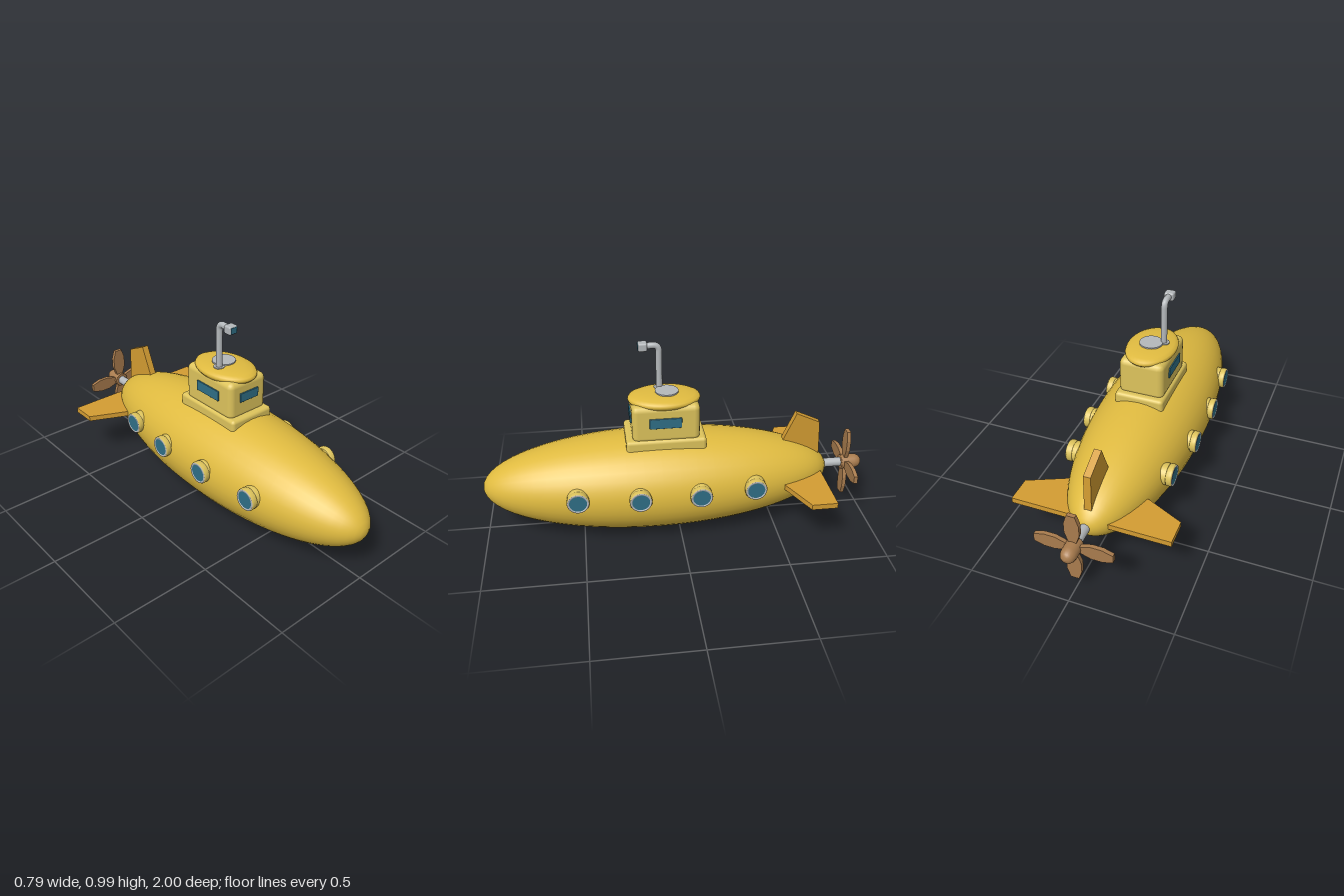
import * as THREE from 'three';
import { RoundedBoxGeometry } from 'three/addons/geometries/RoundedBoxGeometry.js';

const paint = (name, color) => {
  const m = new THREE.MeshStandardMaterial({ color });
  m.name = name;
  return m;
};

export function createModel() {
  const yellow = paint('hull yellow', 0xe0bb40);
  const paleYellow = paint('pale yellow', 0xdec45c);
  const orange = paint('fin orange', 0xd39c32);
  const steel = paint('steel grey', 0xb4b8bb);
  const glass = paint('window teal', 0x2f6f86);
  const bronze = paint('propeller bronze', 0xa97c4e);

  const model = new THREE.Group();
  model.name = 'submarine';
  const add = (name, geometry, material, x = 0, y = 0, z = 0, parent = model) => {
    const mesh = new THREE.Mesh(geometry, material);
    mesh.name = name;
    mesh.position.set(x, y, z);
    parent.add(mesh);
    return mesh;
  };
  const box = (w, h, d, r) => new RoundedBoxGeometry(w, h, d, 2, r);
  const lathe = (pts, n = 32) => new THREE.LatheGeometry(pts.map(p => new THREE.Vector2(...p)), n);
  // Flat plate from an outline, centred on its thickness
  const plate = (pts, depth) => {
    const shape = new THREE.Shape(pts.map(p => new THREE.Vector2(...p)));
    return new THREE.ExtrudeGeometry(shape, { depth, bevelEnabled: false }).translate(0, 0, -depth / 2);
  };

  // Hull: a long ellipsoid with its poles at nose and tail
  const hullY = 0.262;
  const hull = new THREE.SphereGeometry(1, 36, 32).rotateX(Math.PI / 2).scale(0.285, 0.257, 0.9);
  add('hull', hull, yellow, 0, hullY, 0.1);

  // Portholes, four on each side
  const collarGeo = lathe([[0.054, -0.07], [0.054, -0.034], [0.05, -0.032], [0.05, -0.03],
    [0.055, -0.028], [0.056, -0.006], [0.053, 0], [0.044, 0]], 28);
  const rimGeo = lathe([[0.053, -0.001], [0.052, 0.002], [0.044, 0.002], [0.042, -0.004]], 28);
  const glassGeo = new THREE.CylinderGeometry(0.044, 0.044, 0.006, 28);
  for (const side of [1, -1]) {
    for (const [z, x] of [[0.52, 0.279], [0.215, 0.306], [-0.085, 0.306], [-0.365, 0.276]]) {
      const porthole = new THREE.Group();
      porthole.name = 'porthole';
      porthole.position.set(side * x, 0.306, z);
      porthole.rotation.z = -side * Math.PI / 2;
      add('portholeCollar', collarGeo, paleYellow, 0, 0, 0, porthole);
      add('portholeRim', rimGeo, steel, 0, 0, 0, porthole);
      add('portholeGlass', glassGeo, glass, 0, -0.003, 0, porthole);
      model.add(porthole);
    }
  }

  // Conning tower with its base, roof and windows
  const towerZ = 0.066;
  add('towerBase', box(0.254, 0.08, 0.402, 0.018), paleYellow, 0, 0.501, towerZ);
  add('towerBody', box(0.232, 0.2, 0.338, 0.03), paleYellow, 0, 0.622, towerZ);
  const roof = lathe([[0, -0.024], [0.8, -0.024], [0.93, -0.019], [0.99, -0.008], [1, 0],
    [0.97, 0.009], [0.85, 0.018], [0.6, 0.025], [0.3, 0.028], [0, 0.029]], 36);
  roof.scale(0.127, 1, 0.182);
  add('towerRoof', roof, yellow, 0, 0.723, towerZ);
  add('frontWindow', box(0.116, 0.048, 0.009, 0.003), glass, 0, 0.638, 0.238);
  for (const side of [1, -1]) {
    add('sideWindow', box(0.009, 0.054, 0.16, 0.003), glass, side * 0.118, 0.633, 0.07);
  }
  add('hatch', new THREE.CylinderGeometry(0.059, 0.059, 0.014, 32), steel, 0, 0.75, 0.052);

  // Periscope: mast, bent neck and viewing head
  const px = -0.056, pz = 0.083;
  add('periscopeFoot', new THREE.CylinderGeometry(0.028, 0.028, 0.02, 20), steel, px, 0.742, pz);
  const path = new THREE.CurvePath();
  const v = (y, z) => new THREE.Vector3(px, y, z);
  path.add(new THREE.LineCurve3(v(0.73, pz), v(0.945, pz)));
  path.add(new THREE.QuadraticBezierCurve3(v(0.945, pz), v(0.975, pz), v(0.975, pz + 0.03)));
  path.add(new THREE.LineCurve3(v(0.975, pz + 0.03), v(0.973, 0.15)));
  add('periscopeMast', new THREE.TubeGeometry(path, 48, 0.016, 14), steel);
  add('periscopeHead', box(0.05, 0.043, 0.046, 0.009), steel, px, 0.972, 0.163);
  add('periscopeLens', box(0.037, 0.031, 0.006, 0.002), glass, px, 0.972, 0.185);

  // Side fins, outlined in x and z
  for (const side of [1, -1]) {
    const outline = [[0.05, 0.46], [0.395, 0.62], [0.395, 0.75], [0.05, 0.75]];
    const fin = plate(outline.map(([x, z]) => [side * x, z]), 0.028);
    add('sideFin', fin.rotateX(-Math.PI / 2), orange, 0, 0.264, 0);
  }
  // Tail fin, outlined in z and y
  const tail = plate([[0.5, 0.3], [0.555, 0.435], [0.62, 0.586], [0.745, 0.528], [0.757, 0.3]], 0.036);
  add('tailFin', tail.rotateY(Math.PI / 2), orange);

  // Propeller
  const shaft = new THREE.CylinderGeometry(0.024, 0.024, 0.14, 20).rotateX(Math.PI / 2);
  add('propellerShaft', shaft, steel, 0, 0.266, -0.83);
  const hub = lathe([[0, -0.02], [0.037, -0.02], [0.039, -0.016], [0.039, 0.05], [0.036, 0.068],
    [0.028, 0.083], [0.016, 0.091], [0, 0.094]], 24).rotateX(-Math.PI / 2);
  add('propellerHub', hub, bronze, 0, 0.266, -0.906);
  const blade = plate([[-0.014, 0.02], [0.014, 0.02], [0.036, 0.085], [0.036, 0.14],
    [0.02, 0.19], [-0.02, 0.19], [-0.036, 0.14], [-0.036, 0.085]], 0.02);
  for (let i = 0; i < 4; i++) {
    add('propellerBlade', blade, bronze, 0, 0.266, -0.912).rotation.z = i * Math.PI / 2;
  }

  return model;
}
